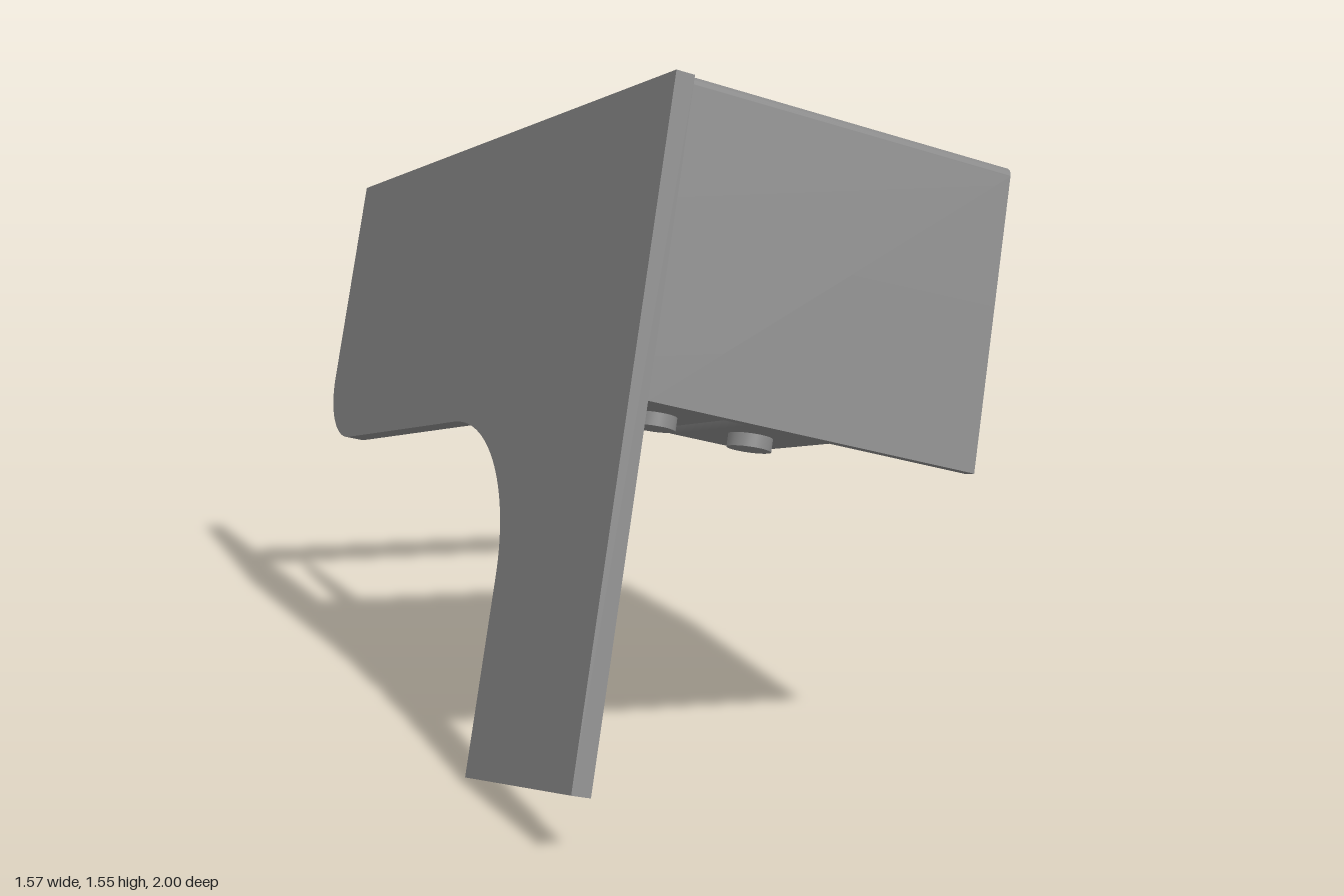
import * as THREE from 'three';
import { toCreasedNormals } from 'three/addons/utils/BufferGeometryUtils.js';
import { RoundedBoxGeometry } from 'three/addons/geometries/RoundedBoxGeometry.js';

export function createModel() {
  const model = new THREE.Group();
  model.name = 'bracketAssembly';
  // Local frame: x runs along the arm, y up the leg, z out of the plate.
  const frame = new THREE.Group();
  frame.name = 'tiltedAssembly';
  model.add(frame);
  const darkGrey = new THREE.MeshStandardMaterial({ color: 0x888888 });

  const add = (name, geometry, x = 0, y = 0, z = 0) => {
    const mesh = new THREE.Mesh(geometry, darkGrey);
    mesh.name = name;
    mesh.position.set(x, y, z);
    frame.add(mesh);
    return mesh;
  };
  const extrude = (shape, depth) => toCreasedNormals(
    new THREE.ExtrudeGeometry(shape, { depth, bevelEnabled: false, curveSegments: 16 }), 0.6);
  // Rounded box given by its lower and upper limits.
  const block = (name, lo, hi, radius) => {
    const size = hi.map((v, i) => v - lo[i]);
    return add(name, new RoundedBoxGeometry(...size, 4, radius),
      ...hi.map((v, i) => (v + lo[i]) / 2));
  };

  // L-shaped plate with a curved inner corner and a rounded arm end
  const T = 0.045, ARM = 1.744, ARM_H = 0.70, LEG = 1.515, LEG_W = 0.52;
  const R = 0.37, r = 0.17;
  const plate = new THREE.Shape();
  plate.moveTo(0, 0);
  plate.lineTo(0, -LEG);
  plate.lineTo(LEG_W, -LEG);
  plate.lineTo(LEG_W, -ARM_H - R);
  plate.absarc(LEG_W + R, -ARM_H - R, R, Math.PI, Math.PI / 2, true);
  plate.lineTo(ARM - r, -ARM_H);
  plate.absarc(ARM - r, -ARM_H + r, r, -Math.PI / 2, 0, false);
  plate.lineTo(ARM, 0);
  plate.closePath();
  add('mountingPlate', extrude(plate, T));

  // Folded sheet cover: front panel and top panel
  const S = 0.03, fold = 0.022;
  const cover = new THREE.Shape();
  cover.moveTo(0, -ARM_H);
  cover.lineTo(S, -ARM_H);
  cover.lineTo(S, -S);
  cover.lineTo(LEG_W, -S);
  cover.lineTo(LEG_W, 0);
  cover.lineTo(fold, 0);
  cover.absarc(fold, -fold, fold, Math.PI / 2, Math.PI, false);
  cover.closePath();
  add('foldedCover', extrude(cover, 0.825), 0, 0, T);

  // Two housings side by side under the cover, each with a round bolt below
  [['inner', T, 0.32, 0.195], ['outer', 0.325, 0.59, 0.44]].forEach(([side, z0, z1, boltZ]) => {
    block(side + 'Housing', [0.055, -0.685, z0], [0.485, -S, z1], 0.03);
    add(side + 'Bolt', toCreasedNormals(new THREE.CylinderGeometry(0.05, 0.05, 0.05, 24), 0.6),
      0.25, -0.69, boltZ);
  });

  // Raised thin panel on the arm, held by a flange at its front end
  const panel = new THREE.Shape();
  panel.moveTo(0.608, T);
  panel.lineTo(0.62, T);
  panel.lineTo(0.62, 0.147);
  panel.lineTo(1.38, 0.147);
  panel.lineTo(1.38, 0.16);
  panel.lineTo(0.608, 0.16);
  panel.closePath();
  const armPanel = add('armPanel', extrude(panel, 0.405), 0, -0.162, 0);
  armPanel.rotation.x = Math.PI / 2;

  // Square bar standing out from the arm end
  block('handleBar', [1.482, -0.287, T - 0.01], [1.577, -0.192, 0.885], 0.008);

  // Tilt of the whole assembly
  const xAxis = new THREE.Vector3(0.208, -0.236, -0.948).normalize();
  const yAxis = new THREE.Vector3(0.324, 0.932, -0.161);
  yAxis.addScaledVector(xAxis, -yAxis.dot(xAxis)).normalize();
  const zAxis = new THREE.Vector3().crossVectors(xAxis, yAxis);
  frame.quaternion.setFromRotationMatrix(new THREE.Matrix4().makeBasis(xAxis, yAxis, zAxis));
  frame.position.set(-0.3, 1.545, 0.65);
  return model;
}
